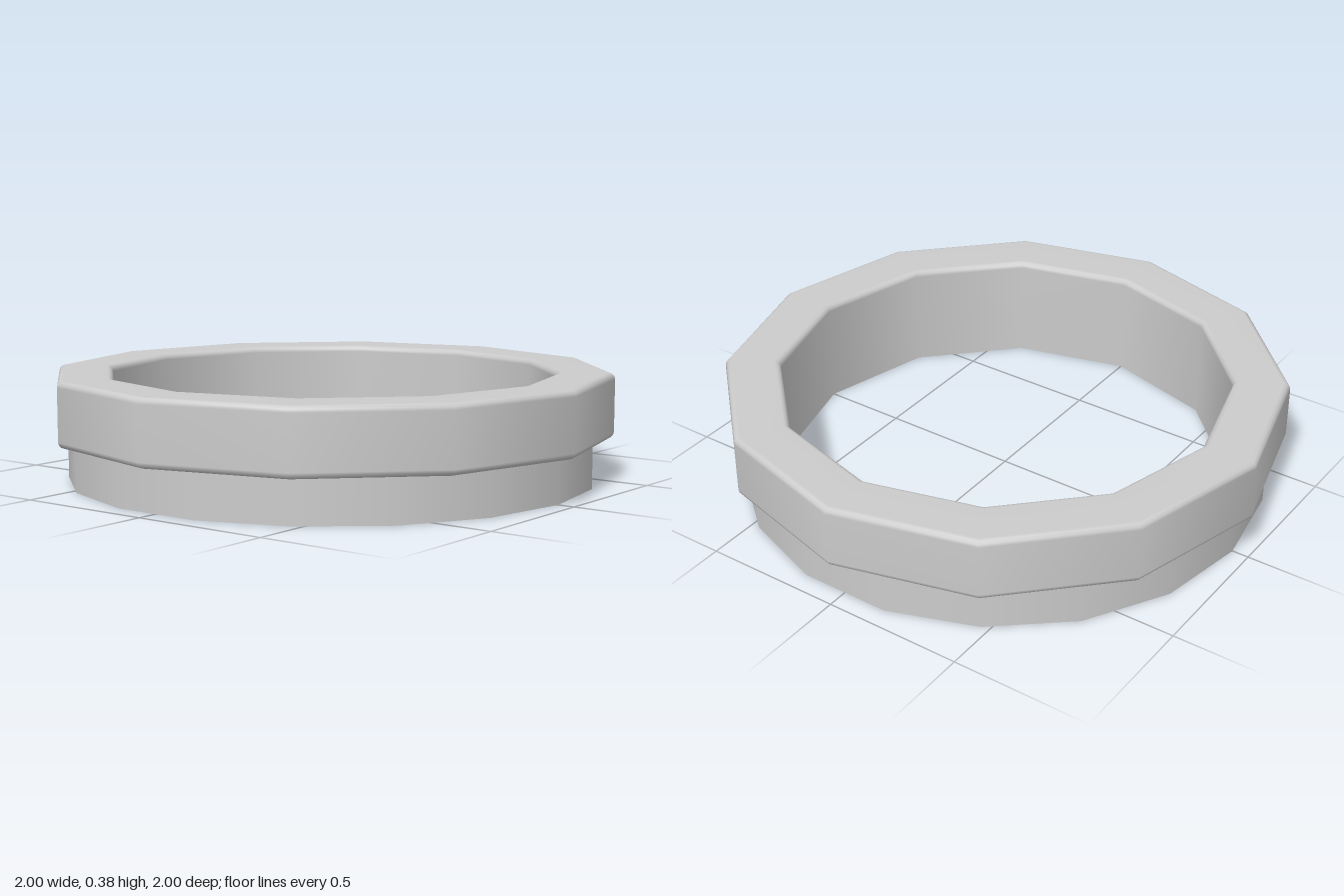
import * as THREE from 'three';

export function createModel() {
  const model = new THREE.Group();
  const grey = new THREE.MeshStandardMaterial({ color: 0xcccccc, side: THREE.DoubleSide });
  grey.name = 'light grey';

  const inner = 0.8, outer = 1, lip = 0.155, top = 0.385, bevel = 0.022;

  // Rounded corner of the ring profile, swept from angle a to a + 90 degrees
  const corner = (r, y, a) => [0, 1, 2, 3].map((i) => {
    const t = a + (i / 3) * Math.PI / 2;
    return new THREE.Vector2(r + bevel * Math.cos(t), y + bevel * Math.sin(t));
  });

  // Twelve-sided ring: underside, outer wall, top, then inner wall down to the floor
  const profile = [
    new THREE.Vector2(inner, lip),
    ...corner(outer - bevel, lip + bevel, -Math.PI / 2),
    ...corner(outer - bevel, top - bevel, 0),
    ...corner(inner + bevel, top - bevel, Math.PI / 2),
    new THREE.Vector2(inner, 0),
  ];
  const ring = new THREE.Mesh(new THREE.LatheGeometry(profile, 12), grey);
  ring.name = 'bevelledRing';
  model.add(ring);

  // Thin eighteen-sided collar hanging below the lip, open at the bottom
  const collarGeometry = new THREE.CylinderGeometry(0.94, 0.94, lip + 0.005, 18, 1, true);
  collarGeometry.rotateY(Math.PI / 2);
  const collar = new THREE.Mesh(collarGeometry, grey);
  collar.name = 'lowerCollar';
  collar.position.y = (lip + 0.005) / 2;
  model.add(collar);

  return model;
}
